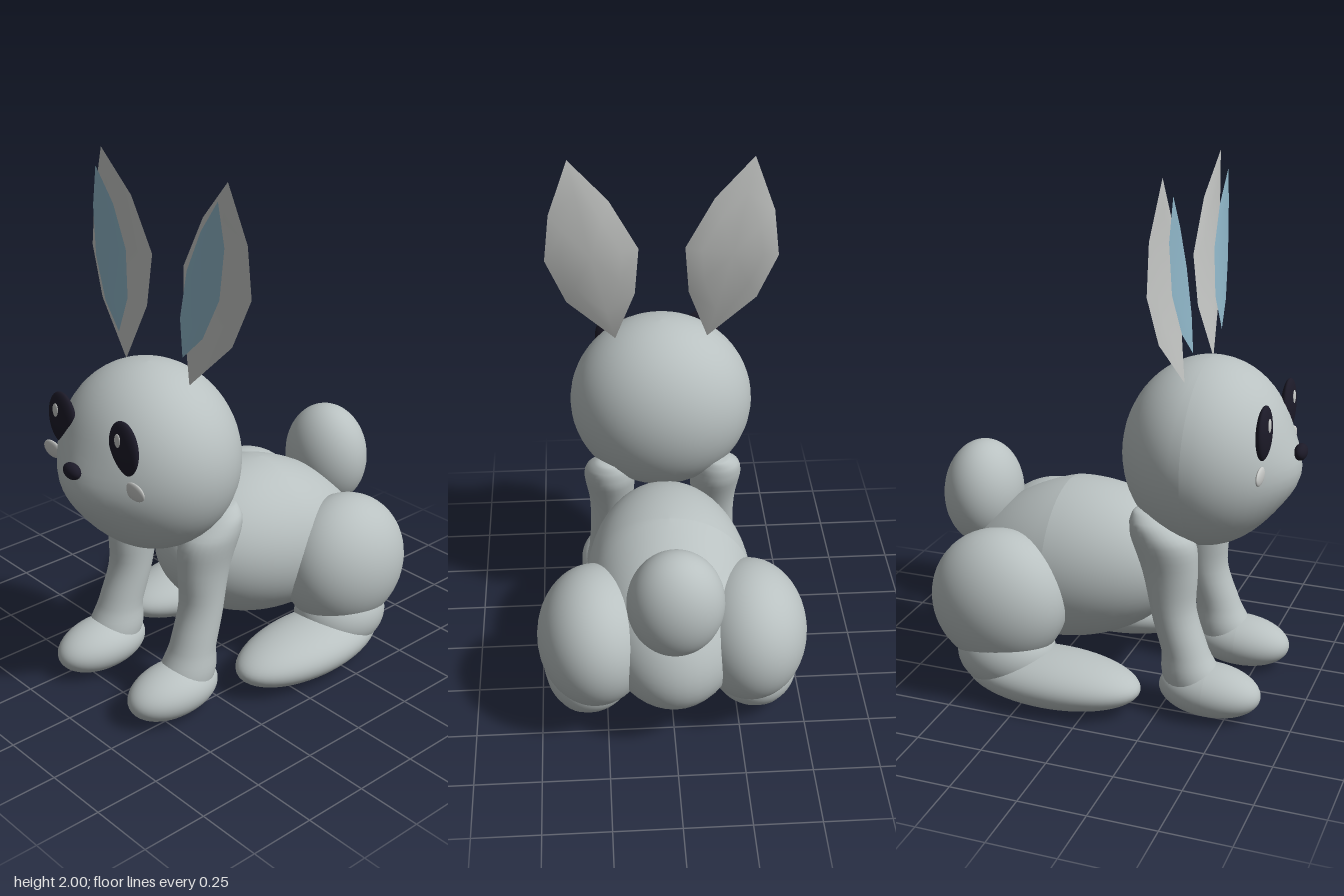
import * as THREE from 'three';

const furMat = new THREE.MeshStandardMaterial({ color: 0xb9c1c1 });
furMat.name = 'grey fur';
const paleMat = new THREE.MeshStandardMaterial({ color: 0xc6c8c6 });
paleMat.name = 'pale grey';
const blueMat = new THREE.MeshStandardMaterial({ color: 0x8fb6c8 });
blueMat.name = 'inner ear blue';
const darkMat = new THREE.MeshStandardMaterial({ color: 0x1c1a28 });
darkMat.name = 'dark eye';

function mesh(parent, name, geometry, material) {
  const m = new THREE.Mesh(geometry, material);
  m.name = name;
  parent.add(m);
  return m;
}

// Ellipsoid with an optional rule that moves its points
function ellipsoid(parent, name, material, center, radii, rule) {
  const g = new THREE.SphereGeometry(1, 48, 32);
  g.scale(...radii);
  if (rule) {
    const p = g.attributes.position;
    const v = new THREE.Vector3();
    for (let i = 0; i < p.count; i++) {
      v.fromBufferAttribute(p, i);
      rule(v);
      p.setXYZ(i, v.x, v.y, v.z);
    }
    g.computeVertexNormals();
  }
  const m = mesh(parent, name, g, material);
  m.position.set(...center);
  return m;
}

function buildGeometry(positions, index) {
  const g = new THREE.BufferGeometry();
  g.setAttribute('position', new THREE.Float32BufferAttribute(positions, 3));
  g.setIndex(index);
  g.computeVertexNormals();
  return g;
}

// Smooth limb through elliptical sections [y, x, z, rx, rz], listed upwards
function limb(sections, side) {
  const path = new THREE.CatmullRomCurve3(sections.map((s) => new THREE.Vector3(s[1] * side, s[0], s[2])));
  const size = new THREE.CatmullRomCurve3(sections.map((s) => new THREE.Vector3(s[3], 0, s[4])));
  const rings = 32, sides = 28;
  const pos = [], idx = [];
  for (let i = 0; i <= rings; i++) {
    const c = path.getPoint(i / rings), r = size.getPoint(i / rings);
    for (let j = 0; j < sides; j++) {
      const a = (j / sides) * Math.PI * 2;
      pos.push(c.x + Math.cos(a) * r.x, c.y, c.z + Math.sin(a) * r.z);
      if (i === rings) continue;
      const k = (j + 1) % sides, b = i * sides;
      idx.push(b + j, b + sides + j, b + k, b + k, b + sides + j, b + sides + k);
    }
  }
  return buildGeometry(pos, idx);
}

// Thin leaf shape: a bent outline with a domed front and back
function leaf(outline, side, bend, thickness) {
  const n = outline.length;
  const cx = outline.reduce((s, p) => s + p[0], 0) / n;
  const cy = outline.reduce((s, p) => s + p[1], 0) / n;
  const pos = [], idx = [];
  for (const face of [1, -1]) {
    const base = pos.length / 3;
    for (const [scale, lift] of [[1, 0], [0.65, 0.75]]) {
      for (const [x, y] of outline) {
        const px = cx + (x - cx) * scale, py = cy + (y - cy) * scale;
        pos.push(px * side, py, bend(py) + face * lift * thickness);
      }
    }
    pos.push(cx * side, cy, bend(cy) + face * thickness);
    const tri = (a, b, c) => {
      if (face * side > 0) idx.push(base + a, base + c, base + b);
      else idx.push(base + a, base + b, base + c);
    };
    for (let i = 0; i < n; i++) {
      const k = (i + 1) % n;
      tri(i, k, n + i);
      tri(k, n + k, n + i);
      tri(n + i, n + k, 2 * n);
    }
  }
  return buildGeometry(pos, idx);
}

// Curve through the z depths at the bottom, middle and top of an ear
const arc = (y0, y1, z0, zm, z1) => (y) => {
  const t = (y - y0) / (y1 - y0);
  return z0 * (1 - t) * (1 - 2 * t) + zm * 4 * t * (1 - t) + z1 * t * (2 * t - 1);
};

// Clockwise from the tip as seen from the front
const earOutline = [[0.333, 2.0], [0.407, 1.8], [0.428, 1.62], [0.354, 1.44],
  [0.175, 1.26], [0.1, 1.47], [0.085, 1.66], [0.19, 1.85]];
const innerOutline = [[0.323, 1.94], [0.35, 1.79], [0.333, 1.61], [0.265, 1.46],
  [0.175, 1.37], [0.143, 1.5], [0.164, 1.67], [0.233, 1.82]];

const frontLeg = [
  [0.08, 0.215, 0.38, 0.09, 0.1],
  [0.16, 0.215, 0.36, 0.098, 0.11],
  [0.25, 0.215, 0.335, 0.086, 0.088],
  [0.4, 0.208, 0.287, 0.083, 0.085],
  [0.55, 0.205, 0.27, 0.088, 0.103],
  [0.67, 0.21, 0.245, 0.1, 0.118],
  [0.74, 0.215, 0.205, 0.086, 0.085],
  [0.78, 0.215, 0.18, 0.045, 0.045],
  [0.787, 0.215, 0.175, 0.001, 0.001],
];

export function createModel() {
  const model = new THREE.Group();
  model.name = 'rabbit';

  // Body sagging towards the rear, and tail
  ellipsoid(model, 'body', furMat, [0, 0.46, -0.2], [0.315, 0.315, 0.47], (v) => {
    v.y += v.z * (v.z < 0 ? 0.25 : 0.08);
  });
  ellipsoid(model, 'tail', furMat, [0, 0.675, -0.565], [0.175, 0.21, 0.152]);

  // Head with a soft muzzle, and nose
  const head = new THREE.Group();
  head.name = 'head';
  model.add(head);
  ellipsoid(head, 'skull', furMat, [0, 0.96, 0.345], [0.355, 0.35, 0.31], (v) => {
    if (v.z > 0) v.z += 0.04 * Math.exp(-((v.x / 0.2) ** 2) - ((v.y + 0.06) / 0.12) ** 2);
  });
  ellipsoid(head, 'nose', darkMat, [0, 0.993, 0.69], [0.042, 0.03, 0.024]);

  for (const side of [1, -1]) {
    const tag = side > 0 ? 'left' : 'right';

    // Eye, glint and whisker tuft
    ellipsoid(head, tag + 'Eye', darkMat, [0.174 * side, 1.108, 0.597], [0.076, 0.1, 0.024]);
    ellipsoid(head, tag + 'EyeGlint', paleMat, [side > 0 ? 0.168 : -0.185, 1.14, 0.618], [0.017, 0.027, 0.005]);
    ellipsoid(head, tag + 'Cheek', paleMat, [0.235 * side, 0.97, 0.603], [0.052, 0.032, 0.01]);

    // Ear with its blue lining
    mesh(head, tag + 'Ear', leaf(earOutline, side, arc(1.26, 2, 0.305, 0.25, 0.27), 0.018), paleMat);
    mesh(head, tag + 'EarLining', leaf(innerOutline, side, arc(1.37, 1.94, 0.335, 0.304, 0.304), 0.008), blueMat);

    // Front leg and paw
    mesh(model, tag + 'FrontLeg', limb(frontLeg, side), furMat);
    ellipsoid(model, tag + 'FrontPaw', furMat, [0.215 * side, 0.102, 0.432], [0.12, 0.097, 0.193], (v) => {
      v.y -= v.z < 0 ? 0 : 0.03 * v.z;
    });

    // Haunch, heel and long hind foot
    ellipsoid(model, tag + 'Haunch', furMat, [0.29 * side, 0.38, -0.375], [0.215, 0.265, 0.265]);
    ellipsoid(model, tag + 'Heel', furMat, [0.315 * side, 0.18, -0.34], [0.165, 0.145, 0.19]);
    ellipsoid(model, tag + 'HindFoot', furMat, [0.335 * side, 0.108, -0.145], [0.165, 0.103, 0.345]);
  }

  return model;
}
